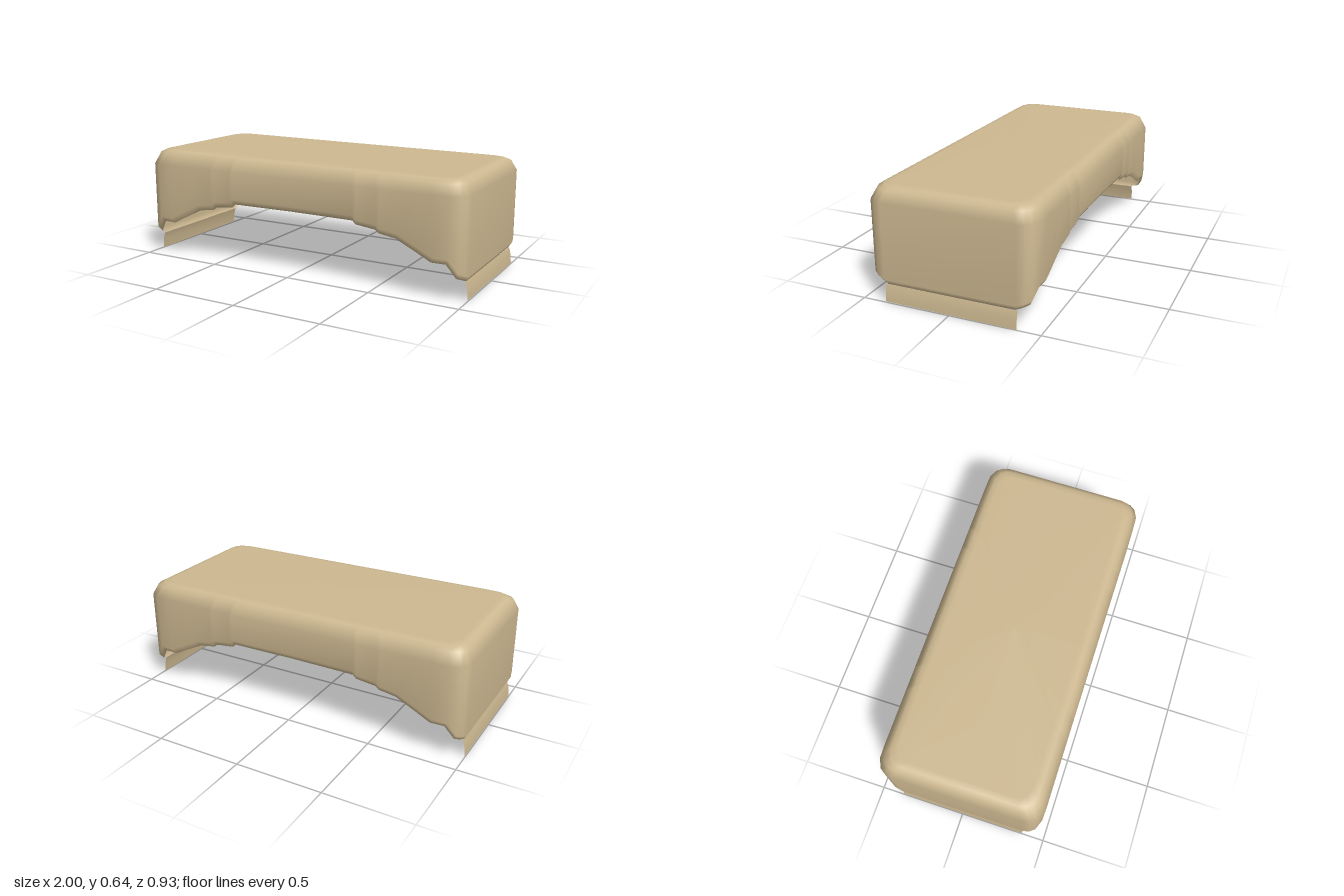
import * as THREE from 'three';

const HALF_X = 1, HALF_Z = 0.466;

// Quarter outline of the cover: [x, z, height of the ragged lower edge]
const QUARTER = [
  [0, 0.466, 0.365], [0.385, 0.466, 0.362], [0.405, 0.466, 0.343], [0.52, 0.466, 0.33],
  [0.54, 0.466, 0.313], [0.64, 0.466, 0.298], [0.75, 0.466, 0.245], [0.84, 0.466, 0.2],
  [0.92, 0.463, 0.2], [0.97, 0.44, 0.127], [0.992, 0.41, 0.115], [1, 0.37, 0.1], [1, 0, 0.1],
];

// Mirrors the quarter into a closed loop, counter-clockwise from above
function outline() {
  const half = [...QUARTER, ...QUARTER.slice(0, -1).reverse().map(([x, z, y]) => [x, -z, y])];
  return [...half, ...half.slice(1, -1).reverse().map(([x, z, y]) => [-x, z, y])];
}

// Joins equal rows of points into a smooth surface
function loft(rows, closed, capped) {
  const n = rows[0].length, index = [], points = rows.flat();
  const steps = closed ? n : n - 1;
  for (let r = 0; r < rows.length - 1; r++) {
    for (let i = 0; i < steps; i++) {
      const a = r * n + i, b = r * n + (i + 1) % n;
      index.push(a, b, b + n, a, b + n, a + n);
    }
  }
  if (capped) {
    const base = (rows.length - 1) * n;
    points.push([0, rows[rows.length - 1][0][1], 0]);
    for (let i = 0; i < n; i++) index.push(points.length - 1, base + i, base + (i + 1) % n);
  }
  const geometry = new THREE.BufferGeometry();
  geometry.setAttribute('position', new THREE.Float32BufferAttribute(points.flat(), 3));
  geometry.setIndex(index);
  geometry.computeVertexNormals();
  return geometry;
}

export function createModel() {
  const model = new THREE.Group();
  model.name = 'cover';
  const tan = new THREE.MeshStandardMaterial({ color: 0xcfba92, side: THREE.DoubleSide });
  tan.name = 'tan';

  const loop = outline();
  const ring = (inset, height) => loop.map(([x, z, low]) => [
    x * (1 - inset / HALF_X), height(low, x), z * (1 - inset / HALF_Z),
  ]);

  // Open shell: curled lower edge, walls, rounded shoulder and flat top
  const shell = new THREE.Mesh(loft([
    ring(0.018, (low) => low),
    ring(0, (low) => low + 0.03),
    ring(0, () => 0.55),
    ring(0.028, (low, x) => 0.611 - 0.003 * x),
    ring(0.055, (low, x) => 0.627 - 0.004 * x),
    ring(0.09, (low, x) => 0.633 - 0.005 * x),
  ], true, true), tan);
  shell.name = 'shell';
  model.add(shell);

  // Folded flap hanging below each end wall
  for (const side of [-1, 1]) {
    const row = (x, y) => [0.37, -0.37].map((z) => [side * x, y + 0.006 * z, side * z]);
    const flap = new THREE.Mesh(loft([row(0.998, 0.003), row(0.993, 0.06), row(0.982, 0.1)], false, false), tan);
    flap.name = side > 0 ? 'leftFlap' : 'rightFlap';
    model.add(flap);
  }
  return model;
}
